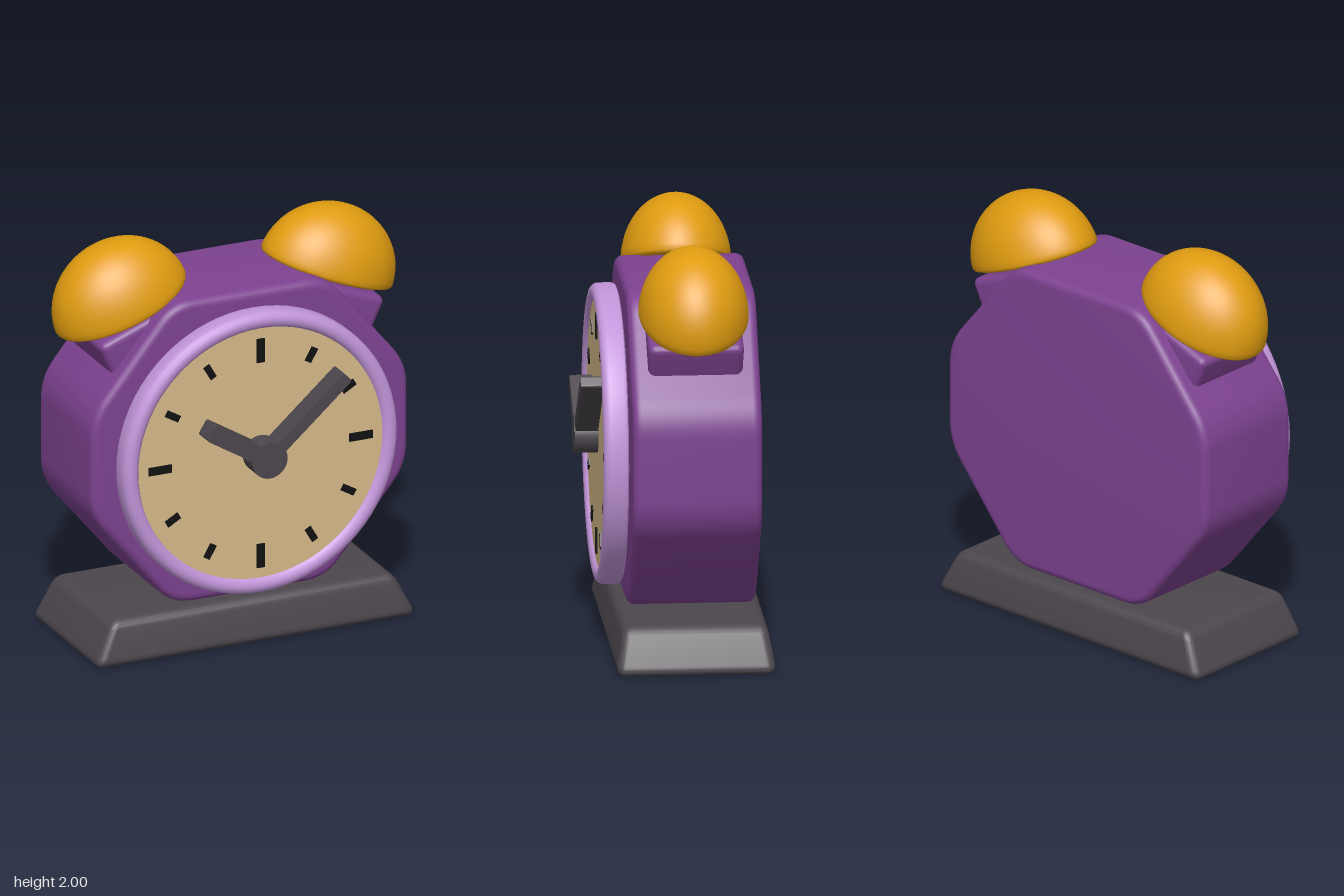
import * as THREE from 'three';
import { toCreasedNormals } from 'three/addons/utils/BufferGeometryUtils.js';
import { RoundedBoxGeometry } from 'three/addons/geometries/RoundedBoxGeometry.js';

const material = (name, color) => {
  const m = new THREE.MeshStandardMaterial({ color });
  m.name = name;
  return m;
};

// Closed outline with every corner eased by a curve
function roundedPolygon(corners, trim) {
  const shape = new THREE.Shape();
  const pts = corners.map(([x, y]) => new THREE.Vector2(x, y));
  const towards = (a, b) => a.clone().add(b.clone().sub(a).setLength(trim));
  pts.forEach((p, i) => {
    const a = towards(p, pts[(i + pts.length - 1) % pts.length]);
    const b = towards(p, pts[(i + 1) % pts.length]);
    if (i === 0) shape.moveTo(a.x, a.y);
    else shape.lineTo(a.x, a.y);
    shape.quadraticCurveTo(p.x, p.y, b.x, b.y);
  });
  shape.closePath();
  return shape;
}

// Rounded box that narrows linearly from bottom to top
function taperedBox(w, h, d, radius, topX, topZ) {
  const geo = new RoundedBoxGeometry(w, h, d, 5, radius);
  const p = geo.attributes.position;
  for (let i = 0; i < p.count; i++) {
    const t = p.getY(i) / h + 0.5;
    p.setX(i, p.getX(i) * (1 + (topX - 1) * t));
    p.setZ(i, p.getZ(i) * (1 + (topZ - 1) * t));
  }
  return toCreasedNormals(geo, 0.6);
}

export function createModel() {
  const clock = new THREE.Group();
  clock.name = 'alarmClock';
  const purple = material('purple', 0x7d4290);
  const lilac = material('lilac', 0xc296da);
  const cream = material('cream', 0xd6b98a);
  const gold = material('gold', 0xe09c10);
  const charcoal = material('charcoal', 0x4b464c);
  const black = material('black', 0x111111);

  const add = (parent, name, geo, mat, x = 0, y = 0, z = 0) => {
    const mesh = new THREE.Mesh(geo, mat);
    mesh.name = name;
    mesh.position.set(x, y, z);
    parent.add(mesh);
    return mesh;
  };

  // Stand
  add(clock, 'stand', taperedBox(1.67, 0.22, 0.76, 0.045, 0.87, 0.89), charcoal, 0, 0.11, -0.07);

  // Octagonal case with softened edges
  const outline = roundedPolygon([
    [0.4, 0.23], [0.82, 0.74], [0.82, 1.25], [0.4, 1.76],
    [-0.4, 1.76], [-0.82, 1.25], [-0.82, 0.74], [-0.4, 0.23],
  ], 0.11);
  const caseGeo = new THREE.ExtrudeGeometry(outline, {
    depth: 0.53, bevelThickness: 0.04, bevelSize: 0.04, bevelOffset: -0.04,
    bevelSegments: 5, curveSegments: 8,
  });
  add(clock, 'case', toCreasedNormals(caseGeo, 0.6), purple, 0, 0, -0.34);

  // Dial group, centred on the hands' axis
  const dial = new THREE.Group();
  dial.name = 'dial';
  dial.position.set(0, 0.98, 0);
  clock.add(dial);

  // Bezel: rounded ring turned about z
  const profile = [
    [0, 0.24], [0.69, 0.24], [0.704, 0.246], [0.71, 0.26], [0.71, 0.325], [0.704, 0.343],
    [0.69, 0.355], [0.672, 0.36], [0.652, 0.356], [0.637, 0.346], [0.628, 0.325],
  ].map(([r, h]) => new THREE.Vector2(r, h));
  const bezel = new THREE.LatheGeometry(profile, 72).rotateX(Math.PI / 2);
  add(dial, 'bezel', toCreasedNormals(bezel, 0.7), lilac);
  add(dial, 'face', new THREE.CircleGeometry(0.632, 72), cream, 0, 0, 0.338);

  // Hour marks, longer at the quarters
  for (let i = 0; i < 12; i++) {
    const quarter = i % 3 === 0;
    const [w, len] = quarter ? [0.04, 0.12] : [0.034, 0.075];
    const r = quarter ? 0.52 : 0.525;
    const a = (i * Math.PI) / 6;
    const mark = add(dial, 'hourMark', new THREE.BoxGeometry(w, len, 0.008), black,
      Math.sin(a) * r, Math.cos(a) * r, 0.342);
    mark.rotation.z = -a;
  }

  // Hands and hub
  const hand = (name, x, y, width) => {
    const shape = roundedPolygon([
      [-width / 2, 0], [width / 2, 0], [width / 2, Math.hypot(x, y)], [-width / 2, Math.hypot(x, y)],
    ], 0.012);
    const geo = new THREE.ExtrudeGeometry(shape, { depth: 0.108, bevelEnabled: false, curveSegments: 4 });
    add(dial, name, geo, charcoal, 0, 0, 0.339).rotation.z = Math.atan2(-x, y);
  };
  hand('minuteHand', 0.405, 0.355, 0.06);
  hand('hourHand', -0.3, 0.185, 0.082);
  const hub = new THREE.CylinderGeometry(0.09, 0.09, 0.112, 40).rotateX(Math.PI / 2);
  add(dial, 'hub', hub, charcoal, 0, 0, 0.394);

  // Bells on tilted mounts, one per side
  const dome = [[0, 0], [0.94, 0], [0.98, 0.015], [0.997, 0.05]].map(([x, y]) => new THREE.Vector2(x, y));
  for (let i = 1; i <= 20; i++) {
    const a = 0.05 + (i / 20) * (Math.PI / 2 - 0.05);
    dome.push(new THREE.Vector2(i === 20 ? 0 : Math.cos(a), Math.sin(a)));
  }
  const bellGeo = toCreasedNormals(new THREE.LatheGeometry(dome, 56).scale(0.343, 0.325, 0.26), 0.9);
  const mountGeo = taperedBox(0.44, 0.3, 0.44, 0.035, 1.08, 1.03);
  for (const [side, s] of [['left', 1], ['right', -1]]) {
    const assembly = new THREE.Group();
    assembly.name = side + 'BellAssembly';
    assembly.position.set(s * 0.53, 1.675, -0.075);
    assembly.rotation.z = -s * 0.372;
    add(assembly, side + 'Bell', bellGeo, gold);
    add(assembly, side + 'BellMount', mountGeo, purple, 0, -0.172, 0);
    clock.add(assembly);
  }
  return clock;
}
